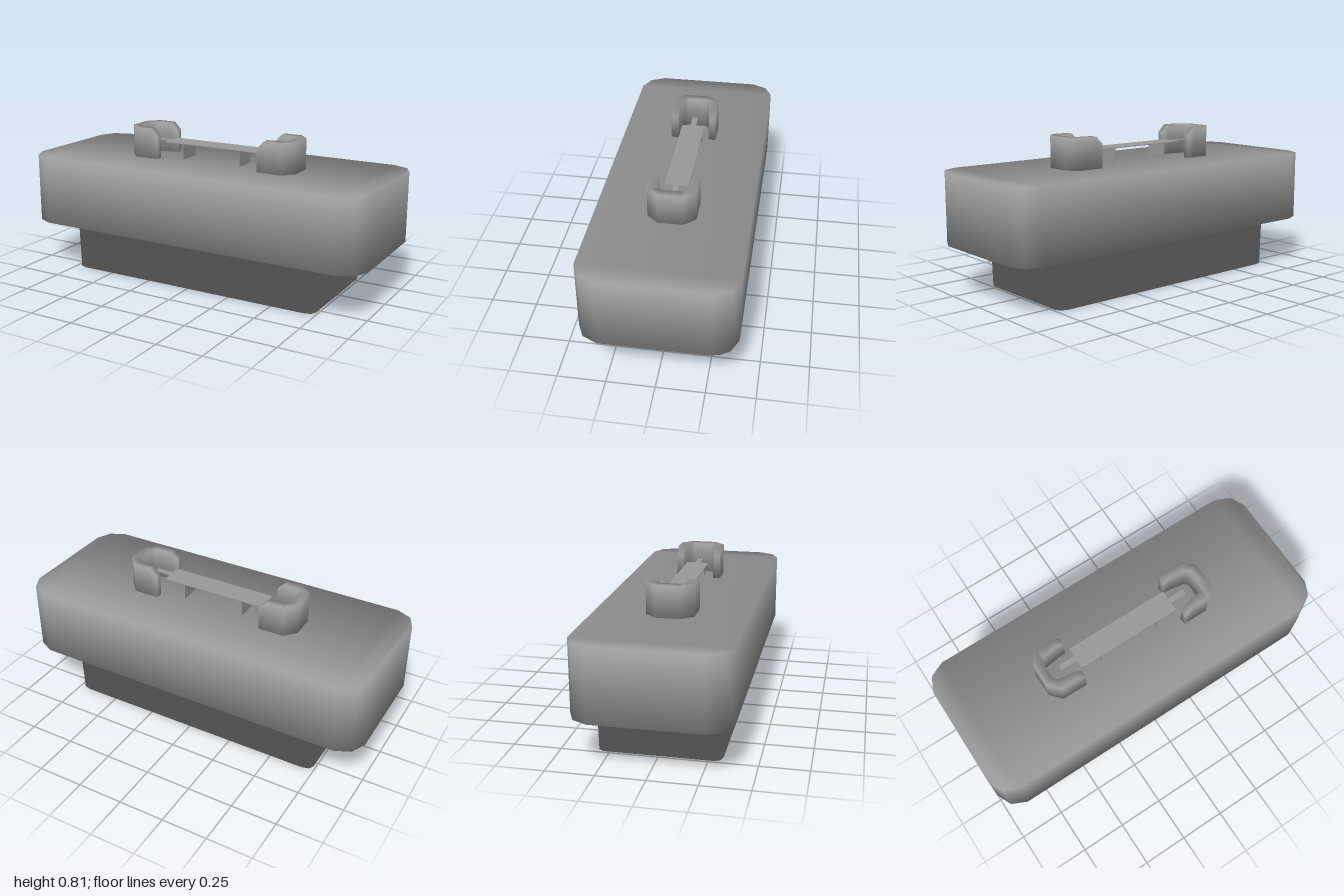
import * as THREE from 'three';

const grey = new THREE.MeshStandardMaterial({ color: 0x9a9a9a });

function addMesh(parent, name, geometry) {
  const mesh = new THREE.Mesh(geometry, grey);
  mesh.name = name;
  parent.add(mesh);
  return mesh;
}

// Indexed geometry from lists of points, soft normals and quads
function quadGeometry(points, normals, quads) {
  const geometry = new THREE.BufferGeometry();
  geometry.setAttribute('position', new THREE.Float32BufferAttribute(points.flat(), 3));
  geometry.setAttribute('normal', new THREE.Float32BufferAttribute(normals.flat(), 3));
  geometry.setIndex(quads.flatMap(([a, b, c, d]) => [a, b, c, a, c, d]));
  geometry.normalizeNormals();
  return geometry;
}

// Full outline from one quadrant with clipped corner
function outline(quadrant) {
  const back = [...quadrant].reverse();
  return [
    ...quadrant,
    ...back.map(([x, z]) => [-x, z]),
    ...quadrant.map(([x, z]) => [-x, -z]),
    ...back.map(([x, z]) => [x, -z]),
  ];
}

// Closed body from stacked rings { quadrant, y, slope }; slope tilts the soft normals up or down
function stackGeometry(rings) {
  const points = [], normals = [], quads = [];
  const n = rings[0].quadrant.length * 4;
  rings.forEach(({ quadrant, y, slope }, r) => {
    const loop = outline(quadrant);
    loop.forEach(([x, z], i) => {
      const prev = loop[(i + n - 1) % n], next = loop[(i + 1) % n];
      const dir = new THREE.Vector2(next[1] - prev[1], prev[0] - next[0]).normalize();
      points.push([x, y, z]);
      normals.push([dir.x, slope, dir.y]);
      if (r > 0) {
        const a = (r - 1) * n, j = (i + 1) % n;
        quads.push([a + i, a + n + i, a + n + j, a + j]);
      }
    });
  });
  // Bottom and top closed by bands running from front to back
  const top = (rings.length - 1) * n;
  for (let k = 0; k < n / 2 - 1; k++) {
    const band = [k, k + 1, n - 2 - k, n - 1 - k];
    quads.push(band, [...band].reverse().map((i) => top + i));
  }
  return quadGeometry(points, normals, quads);
}

// C-shaped bracket: wall sections [outer x, outer z, inner x, inner z, top]
function bracketGeometry(side) {
  const half = [
    [0.31, 0.125, 0.31, 0.087, 0.77],
    [0.35, 0.125, 0.35, 0.083, 0.81],
    [0.45, 0.125, 0.44, 0.07, 0.81],
    [0.505, 0.065, 0.457, 0.05, 0.81],
  ];
  const sections = [...half, ...[...half].reverse().map(([a, b, c, d, t]) => [a, -b, c, -d, t])];
  const y0 = 0.64, last = sections.length - 1;
  const points = [], normals = [], quads = [];
  sections.forEach(([ox, oz, ix, iz, top], s) => {
    const out = new THREE.Vector2(ox - ix, oz - iz).normalize();
    const tip = s === 0 || s === last ? -0.6 : 0;
    points.push([side * ox, y0, oz], [side * ox, top, oz], [side * ix, top, iz], [side * ix, y0, iz]);
    for (const [sign, slope] of [[1, -0.6], [1, 1], [-1, 1], [-1, -0.6]]) {
      normals.push([side * (sign * out.x + tip), slope, sign * out.y]);
    }
    if (s < last) {
      for (let k = 0; k < 4; k++) {
        const a = s * 4 + k, b = s * 4 + (k + 1) % 4;
        quads.push([a, a + 4, b + 4, b]);
      }
    }
  });
  const e = last * 4;
  quads.push([0, 1, 2, 3], [e + 3, e + 2, e + 1, e]);
  return quadGeometry(points, normals, side > 0 ? quads : quads.map((q) => [...q].reverse()));
}

export function createModel() {
  const model = new THREE.Group();
  model.name = 'model';

  // Wide body with clipped corners on a slightly tapered base
  const wide = [[1, 0.28], [0.962, 0.36], [0.88, 0.398]];
  addMesh(model, 'bodyAndBase', stackGeometry([
    { quadrant: [[0.737, 0.28], [0.723, 0.308], [0.685, 0.319]], y: 0, slope: -1.1 },
    { quadrant: [[0.742, 0.283], [0.728, 0.312], [0.69, 0.323]], y: 0.26, slope: -1.6 },
    { quadrant: wide, y: 0.26, slope: -0.6 },
    { quadrant: wide, y: 0.642, slope: 1 },
  ]));

  // Brackets facing each other on top
  for (const side of [1, -1]) {
    addMesh(model, side > 0 ? 'leftBracket' : 'rightBracket', bracketGeometry(side));
  }

  // Thin plate with a tongue at each end
  const plate = new THREE.Shape(outline([[0.388, 0.016], [0.295, 0.016], [0.295, 0.062]])
    .map(([x, z]) => new THREE.Vector2(x, z)));
  const plateGeometry = new THREE.ExtrudeGeometry(plate, { depth: 0.004, bevelEnabled: false });
  addMesh(model, 'plate', plateGeometry.rotateX(-Math.PI / 2)).position.y = 0.729;

  // Upright fins carrying the plate
  for (const x of [-0.178, 0.173]) {
    addMesh(model, 'plateSupport', new THREE.BoxGeometry(0.004, 0.09, 0.124)).position.set(x, 0.685, 0);
  }
  return model;
}
